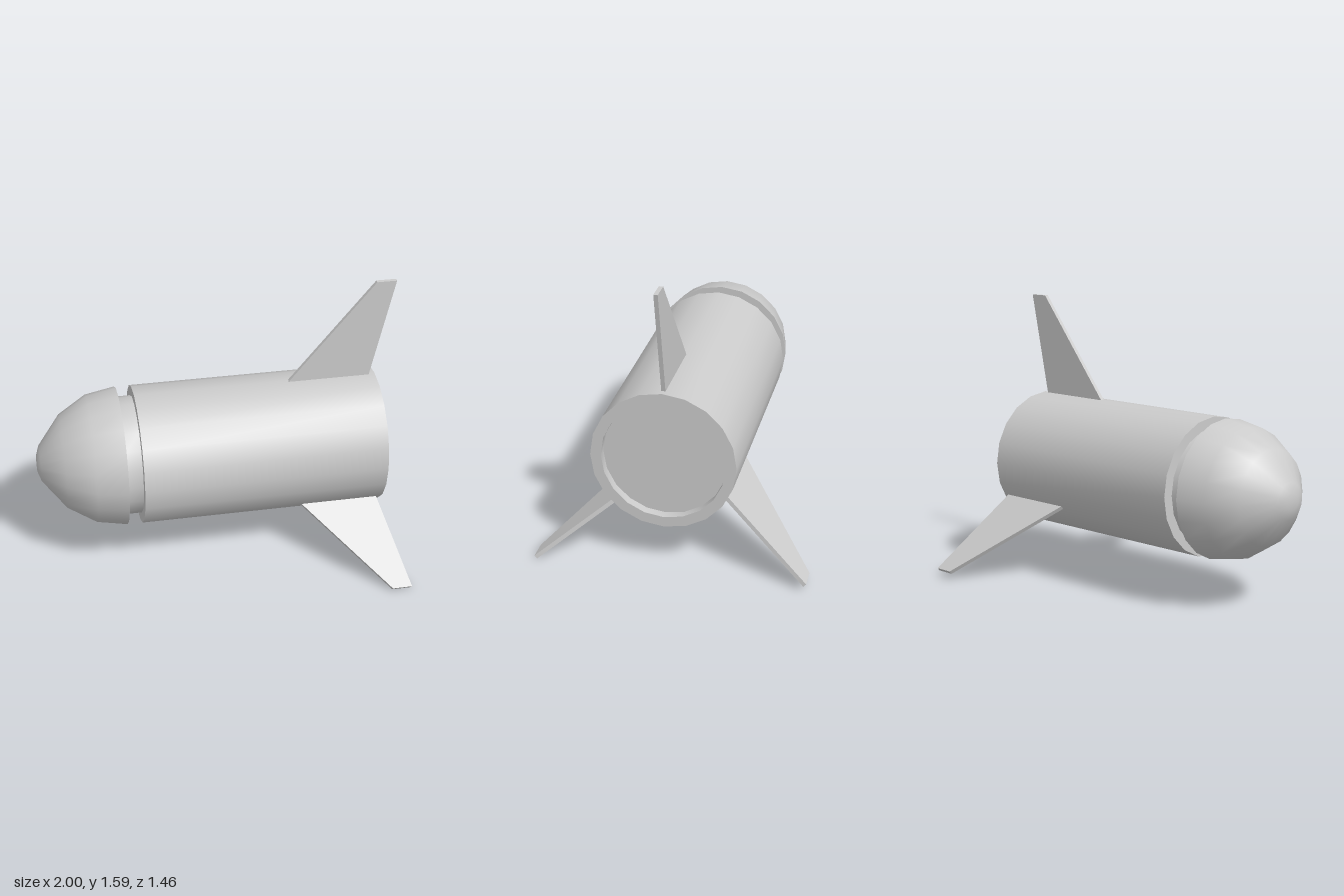
import * as THREE from 'three';
import { toCreasedNormals } from 'three/addons/utils/BufferGeometryUtils.js';

const CENTER_Y = 0.622, CENTER_Z = 0.043, R = 0.387, R_INNER = 0.33;
const FIN_THICKNESS = 0.022;

export function createModel() {
  const group = new THREE.Group();
  const material = new THREE.MeshStandardMaterial({ color: 0xcccccc });

  // Round part along the x axis; profile points are [x, radius], nose to tail.
  function addTurned(name, profile) {
    const points = profile.map(([x, r]) => new THREE.Vector2(r, x));
    const geometry = new THREE.LatheGeometry(points, 20).rotateZ(-Math.PI / 2);
    const mesh = new THREE.Mesh(toCreasedNormals(geometry, 0.7), material);
    mesh.name = name;
    mesh.position.set(0, CENTER_Y, CENTER_Z);
    group.add(mesh);
  }

  // Blunt nose cap
  addTurned('noseCone', [
    [-1, 0], [-0.999, 0.045], [-0.98, 0.1], [-0.853, 0.262],
    [-0.697, 0.357], [-0.53, R], [-0.53, 0],
  ]);

  // Recessed neck between nose and body
  addTurned('neckRing', [[-0.53, R_INNER], [-0.445, R_INNER]]);

  // Main body with a shallow recess in the tail
  addTurned('body', [
    [-0.445, 0], [-0.445, R], [0.91, R], [0.91, R_INNER], [0.86, R_INNER], [0.86, 0],
  ]);

  // Swept fin outline, drawn with its tip at y = 0
  const finShape = new THREE.Shape([
    new THREE.Vector2(0.412, -0.585),
    new THREE.Vector2(0.873, -0.585),
    new THREE.Vector2(1, 0),
    new THREE.Vector2(0.89, 0),
  ]);
  const finGeometry = new THREE.ExtrudeGeometry(finShape, { depth: FIN_THICKNESS, bevelEnabled: false });
  finGeometry.translate(0, 0, -FIN_THICKNESS / 2);

  // Three fins: tip position and outward direction in y and z
  const fins = [
    { name: 'topFin', tip: [1.585, CENTER_Z], dir: [1, 0] },
    { name: 'frontFin', tip: [0.0085, 0.726], dir: [-0.633, 0.774] },
    { name: 'backFin', tip: [0.036, -0.724], dir: [-0.663, -0.749] },
  ];
  for (const { name, tip, dir } of fins) {
    const fin = new THREE.Mesh(finGeometry, material);
    fin.name = name;
    fin.position.set(0, tip[0], tip[1]);
    fin.rotation.x = Math.atan2(dir[1], dir[0]);
    group.add(fin);
  }

  return group;
}
